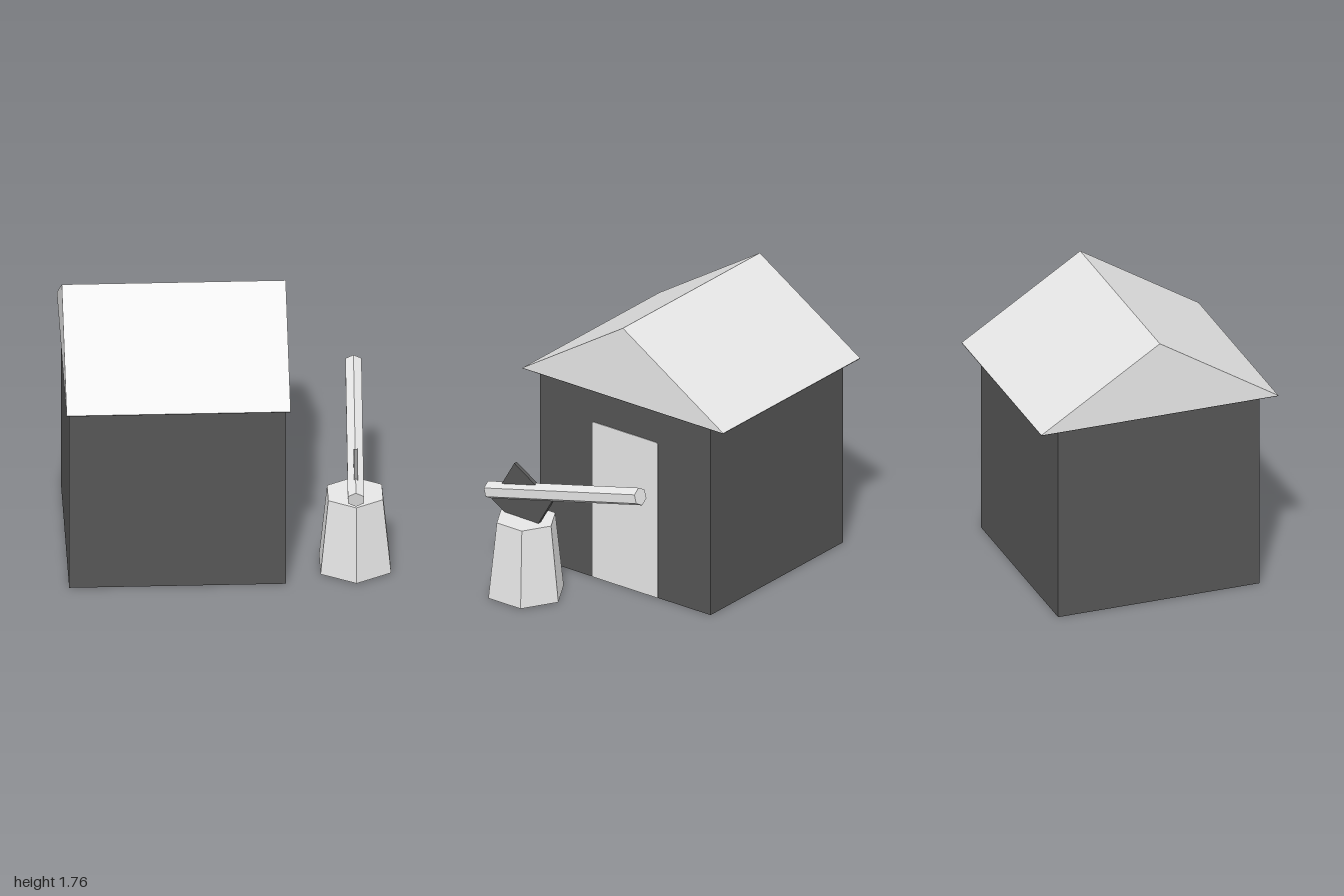
import * as THREE from 'three';

const lightGrey = new THREE.MeshStandardMaterial({ color: 0xe6e6e6 });
const darkGrey = new THREE.MeshStandardMaterial({ color: 0x555555 });
lightGrey.name = 'light grey';
darkGrey.name = 'dark grey';

function part(parent, name, geometry, material, x = 0, y = 0, z = 0) {
  const mesh = new THREE.Mesh(geometry, material);
  mesh.name = name;
  mesh.position.set(x, y, z);
  parent.add(mesh);
  return mesh;
}

// Extrudes a shape drawn in the z-y plane along +x.
function extrudeAlongX(shape, depth) {
  return new THREE.ExtrudeGeometry(shape, { depth, bevelEnabled: false, curveSegments: 4 }).rotateY(Math.PI / 2);
}

function createHouse() {
  const house = new THREE.Group();
  house.name = 'house';
  part(house, 'walls', new THREE.BoxGeometry(1.33, 1.27, 1.32), darkGrey, -0.315, 0.637, 0);

  // Gabled roof with a dark underside
  const gable = new THREE.Shape([
    new THREE.Vector2(-0.777, 0), new THREE.Vector2(0.777, 0), new THREE.Vector2(0, 0.49),
  ]);
  part(house, 'roof', extrudeAlongX(gable, 1.375), lightGrey, -1, 1.275, 0);
  part(house, 'roofUnderside', new THREE.BoxGeometry(1.375, 0.004, 1.554), darkGrey, -0.3125, 1.273, 0);

  // Door plate with slightly rounded top corners
  const door = new THREE.Shape();
  door.moveTo(-0.252, 0);
  door.lineTo(0.252, 0);
  door.lineTo(0.252, 1.035);
  door.quadraticCurveTo(0.252, 1.05, 0.237, 1.05);
  door.lineTo(-0.237, 1.05);
  door.quadraticCurveTo(-0.252, 1.05, -0.252, 1.035);
  part(house, 'door', extrudeAlongX(door, 0.006), lightGrey, 0.348, 0.002, 0);
  return house;
}

function createAxe() {
  const axe = new THREE.Group();
  axe.name = 'axe';

  // Hexagonal handle running from the low front end to the high back end
  const low = new THREE.Vector3(0.777, 0.615, 0.72);
  const high = new THREE.Vector3(0.808, 0.92, -0.47);
  const shaft = new THREE.CylinderGeometry(0.057, 0.057, low.distanceTo(high), 6).toNonIndexed();
  shaft.rotateX(Math.PI / 2);
  shaft.computeVertexNormals();
  const handle = part(axe, 'handle', shaft, lightGrey);
  handle.position.addVectors(low, high).multiplyScalar(0.5);
  handle.lookAt(low);

  // Square blade sunk into the stump
  const blade = part(axe, 'blade', new THREE.BoxGeometry(0.025, 0.343, 0.343), darkGrey, 0.786, 0.625, 0.455);
  blade.rotation.set(-0.535, -0.026, 0, 'YXZ');
  return axe;
}

export function createModel() {
  const model = new THREE.Group();
  model.name = 'houseWithChoppingBlock';
  model.add(createHouse(), createAxe());

  // Tapered six-sided chopping stump
  const stump = new THREE.CylinderGeometry(0.194, 0.25, 0.5, 6).toNonIndexed();
  stump.computeVertexNormals();
  part(model, 'stump', stump, lightGrey, 0.783, 0.258, 0.435);
  return model;
}
